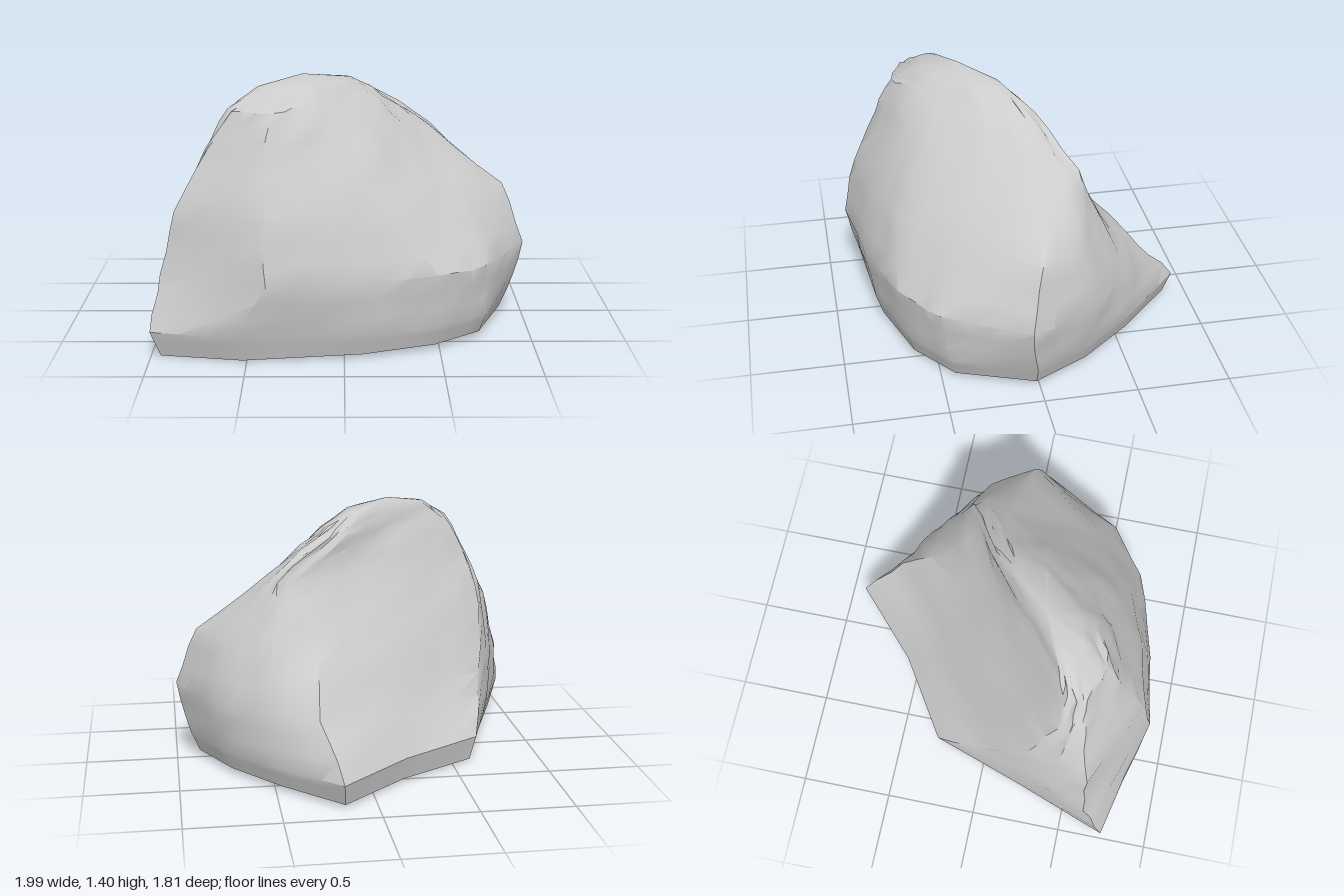
import * as THREE from 'three';
import { toCreasedNormals } from 'three/addons/utils/BufferGeometryUtils.js';

// Horizontal slices of the boulder as [x, z] corners, from the front left corner round by the back.
const SLICES = [
  { y: 0.14, pts: [[-1, 0.74], [-0.82, 0.25], [-0.64, -0.28], [-0.2, -0.56], [0.18, -0.91], [0.5, -0.6],
    [0.75, -0.3], [0.92, 0.02], [0.76, 0.45], [0.5, 0.65], [0.1, 0.78], [-0.55, 0.84]] },
  { y: 0.42, pts: [[-0.95, 0.62], [-0.86, 0.33], [-0.72, 0.02], [-0.2, -0.36], [0.27, -0.68], [0.5, -0.56],
    [0.8, -0.3], [1, 0.06], [0.75, 0.5], [0.48, 0.69], [0, 0.83], [-0.4, 0.9]] },
  { y: 0.75, pts: [[-0.88, 0.6], [-0.83, 0.44], [-0.77, 0.27], [-0.25, -0.12], [0.25, -0.4], [0.5, -0.4],
    [0.72, -0.25], [0.88, 0], [0.55, 0.38], [0.24, 0.65], [-0.05, 0.76], [-0.4, 0.83]] },
  { y: 1.05, pts: [[-0.7, 0.55], [-0.72, 0.47], [-0.7, 0.4], [-0.25, 0.06], [0.3, -0.22], [0.45, -0.28],
    [0.49, -0.22], [0.47, -0.05], [0.38, 0.15], [0.15, 0.5], [-0.1, 0.62], [-0.4, 0.69]] },
  { y: 1.25, pts: [[-0.58, 0.52], [-0.6, 0.46], [-0.57, 0.4], [-0.25, 0.17], [0.06, -0.07], [0.16, -0.1],
    [0.21, -0.05], [0.21, 0.05], [0.17, 0.18], [0, 0.38], [-0.15, 0.52], [-0.38, 0.6]] },
];
const PEAK = new THREE.Vector3(-0.22, 1.4, 0.25);
const SPLIT = 3; // subdivisions between corners and between slices

function seeded(seed) {
  return () => {
    seed = (seed * 16807) % 2147483647;
    return seed / 2147483647 - 0.5;
  };
}

function boulderGeometry() {
  const rings = SLICES.map(({ y, pts }) => pts.map(([x, z]) => new THREE.Vector3(x, y, z)));

  // Slightly undercut, gently tilted foot
  rings.unshift(rings[0].map((p) => new THREE.Vector3(p.x * 0.95, 0.018 + 0.018 * p.x, p.z * 0.95)));

  // Rounded crown
  rings.push(rings[rings.length - 1].map((p) => {
    const q = p.clone().lerp(PEAK, 0.4);
    q.y = 1.355;
    return q;
  }));

  // Finer grid with small bumps, leaving the foot clean
  const rand = seeded(71);
  const corners = rings[0].length;
  const around = corners * SPLIT;
  const rows = (rings.length - 1) * SPLIT;
  const verts = [];
  for (let r = 0; r <= rows; r++) {
    const k = Math.min(Math.floor(r / SPLIT), rings.length - 2);
    const v = r / SPLIT - k;
    for (let c = 0; c < around; c++) {
      const i = Math.floor(c / SPLIT);
      const n = (i + 1) % corners;
      const u = (c % SPLIT) / SPLIT;
      const low = rings[k][i].clone().lerp(rings[k][n], u);
      const high = rings[k + 1][i].clone().lerp(rings[k + 1][n], u);
      const p = low.lerp(high, v);
      const bump = r > SPLIT && r < rows - 1 ? 0.018 : 0;
      verts.push(p.x + rand() * bump, p.y + rand() * bump, p.z + rand() * bump);
    }
  }
  const peak = verts.length / 3;
  verts.push(PEAK.x, PEAK.y, PEAK.z, 0, 0.02, 0);

  // Sides, crown fan and underside fan
  const index = [];
  for (let c = 0; c < around; c++) {
    const n = (c + 1) % around;
    for (let r = 0; r < rows; r++) {
      const a = r * around + c, b = r * around + n;
      index.push(a, a + around, b, b, a + around, b + around);
    }
    index.push(rows * around + c, peak, rows * around + n);
    index.push(c, n, peak + 1);
  }

  const geometry = new THREE.BufferGeometry();
  geometry.setAttribute('position', new THREE.Float32BufferAttribute(verts, 3));
  geometry.setIndex(index);
  return toCreasedNormals(geometry, 0.6);
}

export function createModel() {
  const group = new THREE.Group();
  group.name = 'rock';
  const boulder = new THREE.Mesh(boulderGeometry(), new THREE.MeshStandardMaterial({ color: 0xcccccc }));
  boulder.name = 'boulder';
  group.add(boulder);
  return group;
}
